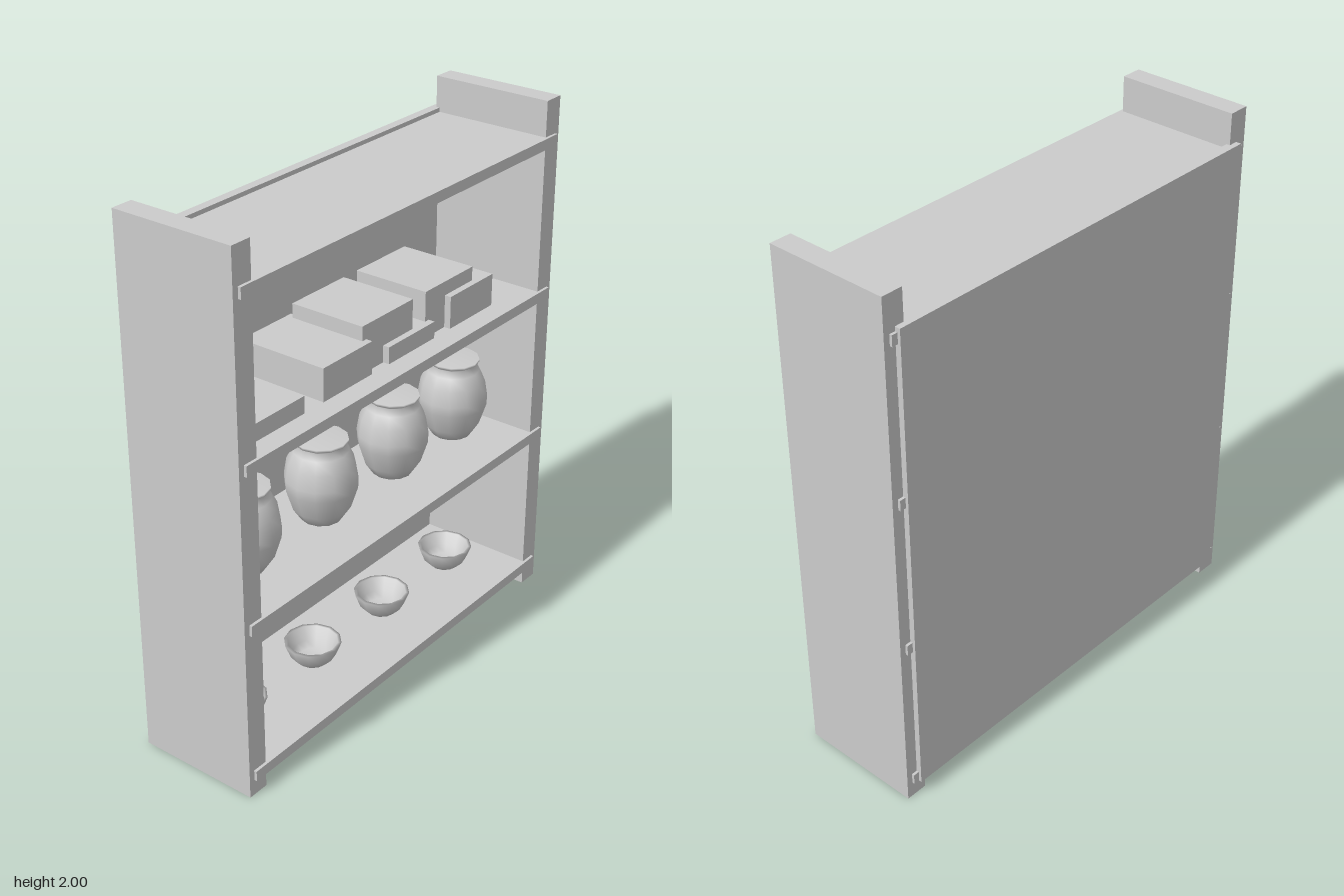
import * as THREE from 'three';

const grey = new THREE.MeshStandardMaterial({ color: 0xcccccc });
const greyDouble = new THREE.MeshStandardMaterial({ color: 0xcccccc, side: THREE.DoubleSide });

// Box given by its limits on each axis
function box(name, [x0, x1], [y0, y1], [z0, z1]) {
  const mesh = new THREE.Mesh(new THREE.BoxGeometry(x1 - x0, y1 - y0, z1 - z0), grey);
  mesh.position.set((x0 + x1) / 2, (y0 + y1) / 2, (z0 + z1) / 2);
  mesh.name = name;
  return mesh;
}

// Turned vessel from [radius, height] pairs
function vessel(name, profile, x, y) {
  const points = profile.map(([r, h]) => new THREE.Vector2(r, h));
  const mesh = new THREE.Mesh(new THREE.LatheGeometry(points, 12), greyDouble);
  mesh.position.set(x, y, 0);
  mesh.name = name;
  return mesh;
}

export function createModel() {
  const model = new THREE.Group();
  model.name = 'shelfUnit';

  // Upright side boards
  model.add(box('leftSide', [0.786, 0.868], [0, 2], [-0.23, 0.243]));
  model.add(box('rightSide', [-0.868, -0.786], [0, 2], [-0.23, 0.243]));

  // Back panel
  model.add(box('backPanel', [-0.822, 0.822], [0.06, 1.883], [-0.251, -0.216]));

  // Shelves, running through the side boards
  const shelfTops = [0.101, 0.688, 1.276, 1.867];
  shelfTops.forEach((top, i) =>
    model.add(box(`shelf${i + 1}`, [-0.845, 0.845], [top - 0.04, top], [-0.24, 0.254])));

  // Bowls on the lowest shelf
  const bowlProfile = [[0, 0], [0.056, 0], [0.085, 0.03], [0.106, 0.084],
    [0.093, 0.084], [0.073, 0.035], [0.05, 0.014], [0, 0.014]];
  [-0.65, -0.238, 0.174, 0.586].forEach((x, i) =>
    model.add(vessel(`bowl${i + 1}`, bowlProfile, x, shelfTops[0])));

  // Closed jars on the second shelf
  const jarProfile = [[0, 0], [0.075, 0], [0.105, 0.045], [0.13, 0.125], [0.132, 0.165],
    [0.122, 0.225], [0.1, 0.27], [0.08, 0.293], [0.098, 0.305], [0.098, 0.314], [0, 0.314]];
  [-0.592, -0.18, 0.232, 0.609].forEach((x, i) =>
    model.add(vessel(`jar${i + 1}`, jarProfile, x, shelfTops[1])));

  // Storage boxes on the third shelf: centre x, width, height, depth
  const boxes = [
    [-0.602, 0.257, 0.063, 0.35],
    [-0.249, 0.257, 0.122, 0.35],
    [-0.002, 0.28, 0.175, 0.3],
    [0.103, 0.26, 0.063, 0.35],
    [0.456, 0.257, 0.122, 0.35],
    [0.352, 0.28, 0.175, 0.3],
  ];
  boxes.forEach(([x, w, h, d], i) =>
    model.add(box(`storageBox${i + 1}`, [x - w / 2, x + w / 2],
      [shelfTops[2], shelfTops[2] + h], [-d / 2, d / 2])));

  return model;
}
